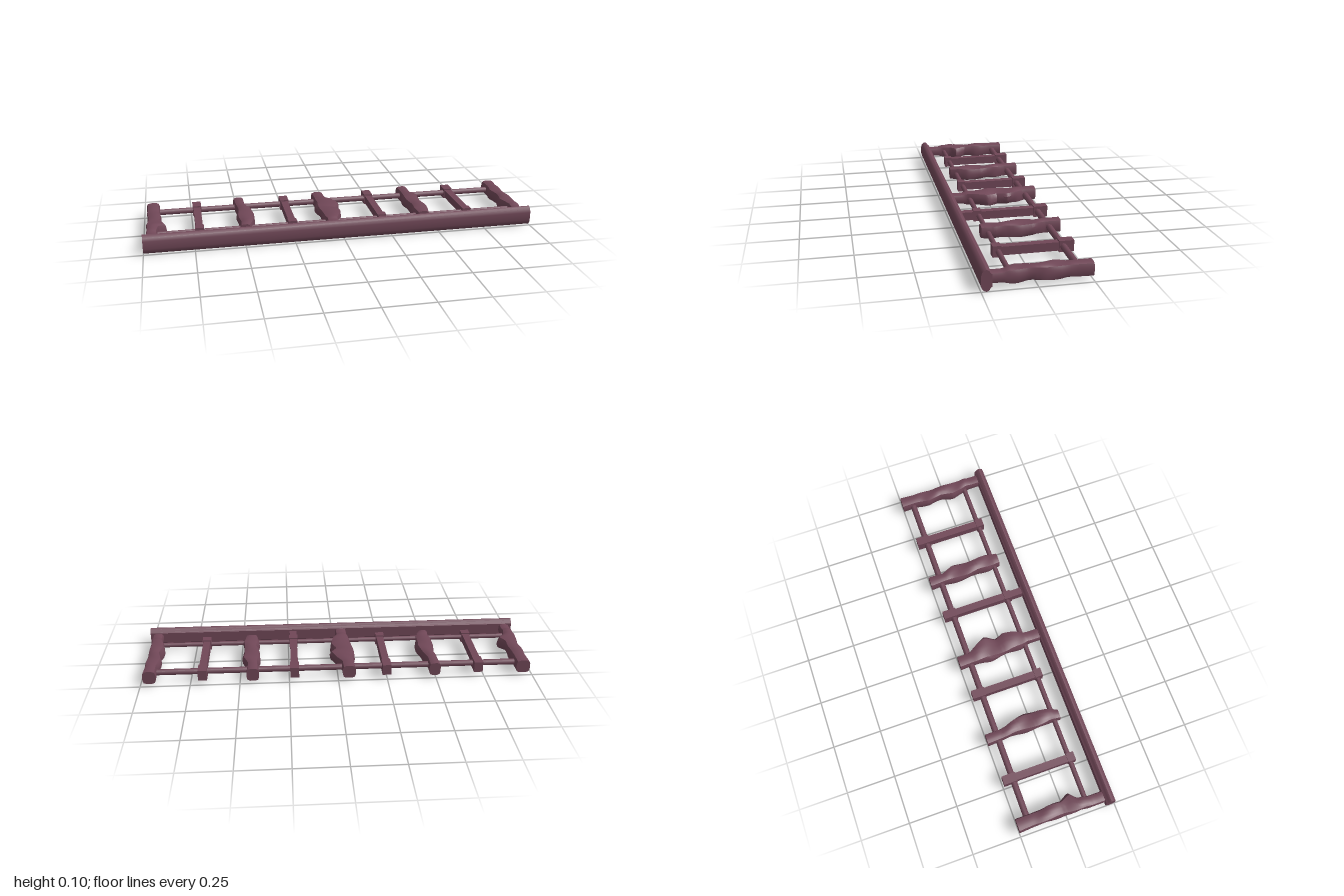
import * as THREE from 'three';
import { toCreasedNormals } from 'three/addons/utils/BufferGeometryUtils.js';

const CY = 0.05; // mid height of the railing lying flat

export function createModel() {
  const group = new THREE.Group();
  const iron = new THREE.MeshStandardMaterial({ color: 0x704757 });
  iron.name = 'plum iron';

  const add = (name, geometry) => {
    const mesh = new THREE.Mesh(geometry, iron);
    mesh.name = name;
    group.add(mesh);
    return mesh;
  };

  // Box given by its centre x, its z range, its width and its height
  const bar = (name, x, z0, z1, w, h) =>
    add(name, new THREE.BoxGeometry(w, h, z1 - z0)).position.set(x, CY, (z0 + z1) / 2);

  // Handrail: rounded profile run along x
  const profile = [
    [0.25, 0.03], [0.25, 0.07], [0.245, 0.087], [0.235, 0.097], [0.225, 0.1], [0.214, 0.094],
    [0.207, 0.082], [0.201, 0.078], [0.201, 0.022], [0.207, 0.018], [0.214, 0.006],
    [0.225, 0], [0.235, 0.003], [0.245, 0.013],
  ];
  const shape = new THREE.Shape(profile.map(([z, y]) => new THREE.Vector2(-z, y)));
  const rail = new THREE.ExtrudeGeometry(shape, { depth: 2, bevelEnabled: false });
  rail.translate(0, 0, -1).rotateY(Math.PI / 2);
  add('handrail', toCreasedNormals(rail, 0.7));

  // Two thin rods that tie the balusters together
  for (const [name, z, r] of [['lowerRod', -0.192, 0.016], ['upperRod', 0.113, 0.013]]) {
    const rod = add(name, new THREE.CylinderGeometry(r, r, 1.9, 8));
    rod.rotation.z = Math.PI / 2;
    rod.position.set(0, CY, z);
  }

  // Plain square balusters with collars at the rods
  for (const x of [-0.72, -0.248, 0.222, 0.687]) {
    const reachesRail = x > 0 && x < 0.5;
    bar('plainBaluster', x, -0.23, reachesRail ? 0.21 : 0.13, 0.037, 0.042);
    bar('lowerCollar', x, -0.243, -0.172, 0.045, 0.055);
    bar('upperCollar', x, 0.1, 0.14, 0.045, 0.055);
  }

  // Twisted balusters: cylinder bent through stations [z, xMin, xMax, half height]
  const twisted = (stations, phase) => {
    const z0 = stations[0][0], z1 = stations[stations.length - 1][0];
    const geo = new THREE.CylinderGeometry(1, 1, 1, 16, 44);
    const p = geo.attributes.position;
    for (let i = 0; i < p.count; i++) {
      const z = z0 + (p.getY(i) + 0.5) * (z1 - z0);
      let k = 0;
      while (k < stations.length - 2 && z > stations[k + 1][0]) k++;
      const a = stations[k], b = stations[k + 1];
      const t = (z - a[0]) / (b[0] - a[0]);
      const [, left, right, h] = a.map((v, j) => v + (b[j] - v) * t);
      const px = p.getX(i), py = -p.getZ(i);
      const len = Math.hypot(px, py), angle = Math.atan2(py, px);
      // squarish section, with a helical ripple on the middle stretch only
      const square = len / Math.pow(Math.cos(angle) ** 4 + Math.sin(angle) ** 4, 0.25);
      const fade = THREE.MathUtils.smoothstep(z, -0.18, -0.12) * (1 - THREE.MathUtils.smoothstep(z, 0.08, 0.13));
      const ripple = 1 + fade * (0.09 * Math.cos(2 * angle + 34 * z + phase) - 0.05);
      const c = len > 0 ? square / len : 0;
      p.setXYZ(i, (left + right) / 2 + px * c * ripple * (right - left) / 2, CY + py * c * ripple * h, z);
    }
    add('twistedBaluster', toCreasedNormals(geo, 0.6));
  };

  twisted([[-0.25, -0.985, -0.915, 0.034], [-0.17, -0.98, -0.915, 0.034], [-0.08, -0.985, -0.905, 0.037],
    [-0.01, -0.98, -0.91, 0.036], [0.04, -0.985, -0.88, 0.037], [0.075, -0.985, -0.915, 0.038],
    [0.125, -0.985, -0.93, 0.034], [0.15, -0.985, -0.93, 0.026], [0.21, -0.985, -0.93, 0.026]], 0);
  twisted([[-0.25, -0.522, -0.465, 0.034], [-0.17, -0.518, -0.465, 0.034], [-0.11, -0.515, -0.445, 0.037],
    [-0.03, -0.52, -0.43, 0.037], [0.05, -0.522, -0.43, 0.038], [0.1, -0.515, -0.445, 0.037],
    [0.145, -0.515, -0.465, 0.031]], 1);
  twisted([[-0.25, -0.088, -0.022, 0.034], [-0.18, -0.085, -0.02, 0.034], [-0.14, -0.09, 0.01, 0.037],
    [-0.08, -0.095, 0.035, 0.037], [-0.03, -0.09, 0.01, 0.035], [0.02, -0.09, 0.035, 0.037],
    [0.09, -0.085, 0.01, 0.038], [0.13, -0.07, -0.01, 0.034], [0.15, -0.07, -0.01, 0.026],
    [0.21, -0.07, -0.01, 0.026]], 2);
  twisted([[-0.25, 0.402, 0.465, 0.034], [-0.17, 0.408, 0.462, 0.034], [-0.11, 0.4, 0.488, 0.037],
    [-0.04, 0.4, 0.49, 0.036], [0.02, 0.41, 0.485, 0.037], [0.08, 0.405, 0.49, 0.037],
    [0.145, 0.415, 0.478, 0.031]], 3);
  twisted([[-0.25, 0.918, 0.985, 0.034], [-0.17, 0.92, 0.98, 0.034], [-0.1, 0.905, 0.985, 0.037],
    [-0.03, 0.92, 0.985, 0.036], [0.04, 0.905, 0.98, 0.037], [0.09, 0.915, 0.985, 0.038],
    [0.13, 0.93, 0.985, 0.034], [0.15, 0.93, 0.985, 0.026], [0.21, 0.93, 0.985, 0.026]], 4);

  return group;
}
